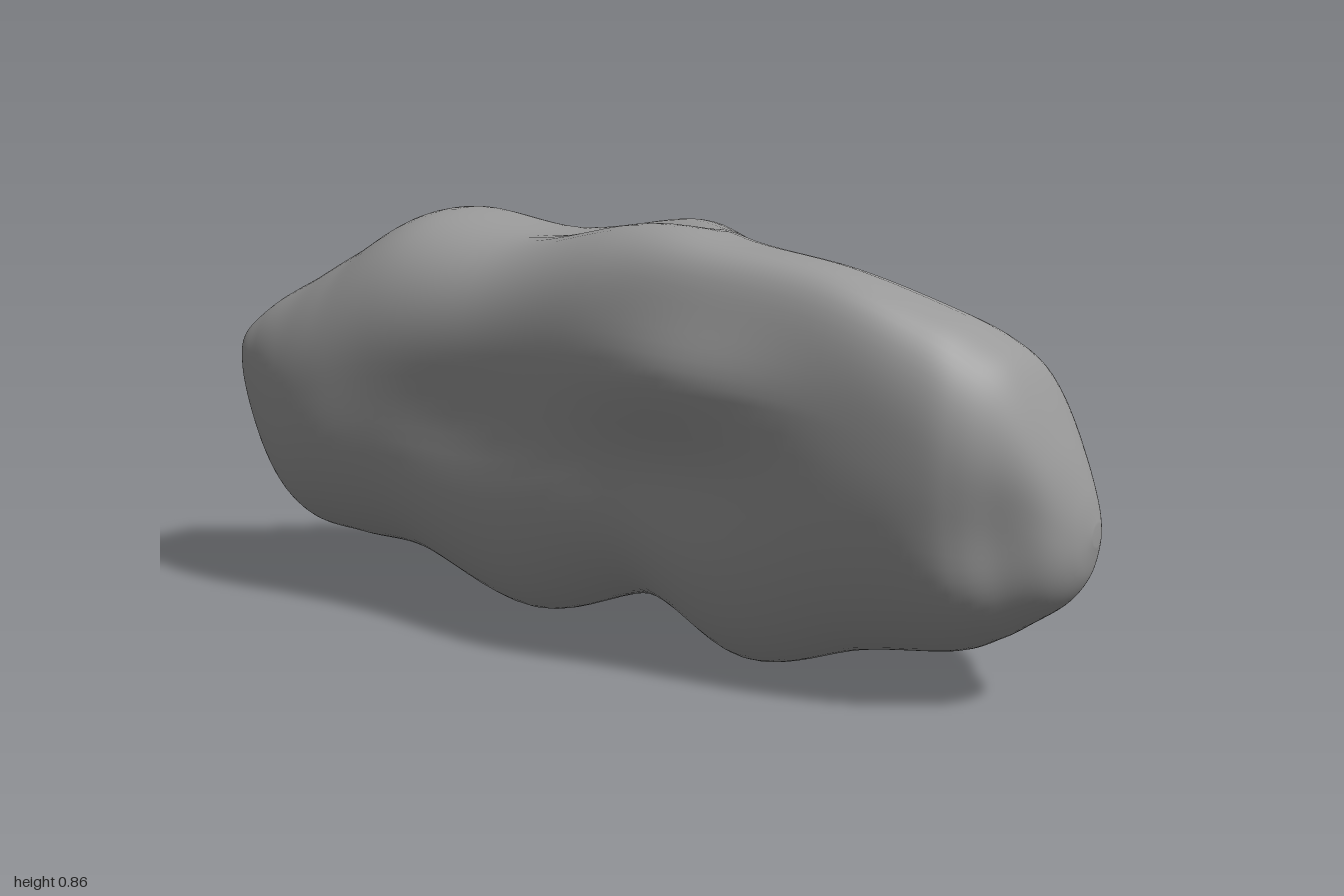
import * as THREE from 'three';

// Cross-sections along x: x, top y, bottom y, front z, back z, height of front, height of back, z of top, z of bottom
const SECTIONS = [
  [-1.0, 0.58, 0.52, 0.09, -0.08, 0.55, 0.55, 0.0, 0.0],
  [-0.96, 0.61, 0.42, 0.17, -0.12, 0.52, 0.53, 0.02, 0.03],
  [-0.89, 0.66, 0.24, 0.21, -0.145, 0.48, 0.51, 0.02, 0.05],
  [-0.79, 0.715, 0.15, 0.25, -0.2, 0.46, 0.52, -0.02, 0.04],
  [-0.67, 0.78, 0.12, 0.27, -0.335, 0.48, 0.53, -0.05, 0],
  [-0.49, 0.86, 0.1, 0.275, -0.375, 0.52, 0.52, -0.07, -0.02],
  [-0.2, 0.825, 0.015, 0.285, -0.315, 0.54, 0.49, -0.06, -0.01],
  [0.1, 0.86, 0.09, 0.31, -0.27, 0.56, 0.46, -0.04, 0],
  [0.34, 0.82, 0.0, 0.325, -0.24, 0.56, 0.4, 0.12, 0.02],
  [0.57, 0.785, 0.055, 0.325, -0.295, 0.53, 0.4, 0.18, 0.02],
  [0.75, 0.72, 0.08, 0.315, -0.28, 0.47, 0.39, 0.15, 0.02],
  [0.83, 0.675, 0.115, 0.295, -0.245, 0.43, 0.39, 0.12, 0.03],
  [0.89, 0.62, 0.155, 0.255, -0.14, 0.4, 0.38, 0.11, 0.05],
  [0.95, 0.5, 0.2, 0.2, -0.045, 0.36, 0.36, 0.09, 0.06],
  [0.985, 0.41, 0.25, 0.14, 0.005, 0.33, 0.33, 0.07, 0.06],
  [1.0, 0.35, 0.31, 0.085, 0.04, 0.33, 0.33, 0.06, 0.06],
];

// Corner fullness of each section (1 straight, 2 round, 4 boxy): top front, bottom front, bottom back, top back
const CORNERS = [
  [2.6, 2.6, 2.6, 2.6],
  [2.5, 2.6, 2.4, 2.4],
  [2.4, 2.4, 2.2, 2],
  [2.3, 2.4, 2, 1.9],
  [2.3, 2.3, 1.8, 1.9],
  [2.4, 2.3, 1.7, 1.9],
  [2.8, 2.5, 1.9, 2],
  [3.6, 2.4, 1.9, 2.2],
  [4.6, 2.6, 2.1, 1.7],
  [4, 2.4, 2.1, 1.5],
  [3, 2.2, 2, 1.5],
  [2.7, 2.2, 1.8, 1.6],
  [2.5, 2.2, 1.8, 1.8],
  [2.4, 2.2, 2, 2],
  [2.2, 2.2, 2, 2],
  [2, 2, 2, 2],
];

// Dents and swellings: centre x, y, z, radius x, y, z, push x, y, z
const BUMPS = [
  [0.3, 0.58, 0.33, 0.22, 0.11, 0.15, 0, 0, 0.045],
  [0.2, 0.4, 0.31, 0.24, 0.12, 0.15, 0, 0, -0.03],
  [-0.3, 0.44, 0.28, 0.24, 0.12, 0.2, 0, 0, -0.02],
  [0.86, 0.34, 0.25, 0.1, 0.1, 0.1, -0.01, 0, -0.025],
  [0.03, 0.82, 0.02, 0.18, 0.2, 0.09, 0, -0.035, 0],
  [-0.42, 0.75, -0.27, 0.35, 0.1, 0.08, 0, -0.03, 0.03],
  [0.22, 0.75, -0.2, 0.14, 0.12, 0.08, 0, -0.03, 0.03],
  [0.16, 0.25, -0.22, 0.1, 0.25, 0.15, 0, 0, 0.035],
];

const AROUND = 80, STEPS = 8;

function catmull(a, b, c, d, t) {
  return 0.5 * (2 * b + (c - a) * t + (2 * a - 5 * b + 4 * c - d) * t * t + (3 * b - a - 3 * c + d) * t * t * t);
}

// Smooth in-between row of a table
function rowAt(table, u) {
  const last = table.length - 1;
  const i = Math.min(Math.floor(u), last - 1);
  const row = k => table[Math.max(0, Math.min(last, k))];
  return table[0].map((_, k) => catmull(row(i - 1)[k], row(i)[k], row(i + 1)[k], row(i + 2)[k], u - i));
}

// Point on a section; angle runs top, front, bottom, back
function sectionPoint(section, corners, angle) {
  const [x, top, bottom, front, back, yFront, yBack, zTop, zBottom] = section;
  const c = Math.cos(angle), s = Math.sin(angle);
  const zMid = c >= 0 ? zTop : zBottom;
  const yMid = s >= 0 ? yFront : yBack;
  const n = corners[s >= 0 ? (c >= 0 ? 0 : 1) : (c >= 0 ? 3 : 2)];
  const r = (Math.abs(c) ** n + Math.abs(s) ** n) ** (-1 / n);
  const z = zMid + ((s >= 0 ? front : back) - zMid) * Math.abs(s) * r;
  const y = yMid + ((c >= 0 ? top : bottom) - yMid) * Math.abs(c) * r;
  const moved = [x, y, z];
  for (const [bx, by, bz, rx, ry, rz, ...push] of BUMPS) {
    const w = Math.exp(-(((x - bx) / rx) ** 2) - ((y - by) / ry) ** 2 - ((z - bz) / rz) ** 2);
    push.forEach((d, k) => { moved[k] += d * w; });
  }
  return moved;
}

function rockGeometry() {
  const positions = [], index = [];
  const rings = (SECTIONS.length - 1) * STEPS;
  for (let i = 0; i <= rings; i++) {
    const section = rowAt(SECTIONS, i / STEPS), corners = rowAt(CORNERS, i / STEPS);
    for (let j = 0; j < AROUND; j++) positions.push(...sectionPoint(section, corners, (j / AROUND) * Math.PI * 2));
  }
  for (let i = 0; i < rings; i++) {
    for (let j = 0; j < AROUND; j++) {
      const k = (j + 1) % AROUND;
      const a = i * AROUND + j, b = i * AROUND + k;
      index.push(a, b, a + AROUND, b, b + AROUND, a + AROUND);
    }
  }
  // Close both ends
  const leftTip = positions.length / 3, rightTip = leftTip + 1;
  positions.push(-1, 0.55, 0, 1, 0.33, 0.06);
  for (let j = 0; j < AROUND; j++) {
    const k = (j + 1) % AROUND;
    index.push(leftTip, k, j, rightTip, rings * AROUND + j, rings * AROUND + k);
  }
  const geometry = new THREE.BufferGeometry();
  geometry.setAttribute('position', new THREE.Float32BufferAttribute(positions, 3));
  geometry.setIndex(index);
  geometry.computeVertexNormals();
  return geometry;
}

export function createModel() {
  const group = new THREE.Group();
  group.name = 'boulder';
  const rock = new THREE.Mesh(rockGeometry(), new THREE.MeshStandardMaterial({ color: 0x999999 }));
  rock.name = 'rock';
  group.add(rock);
  return group;
}
